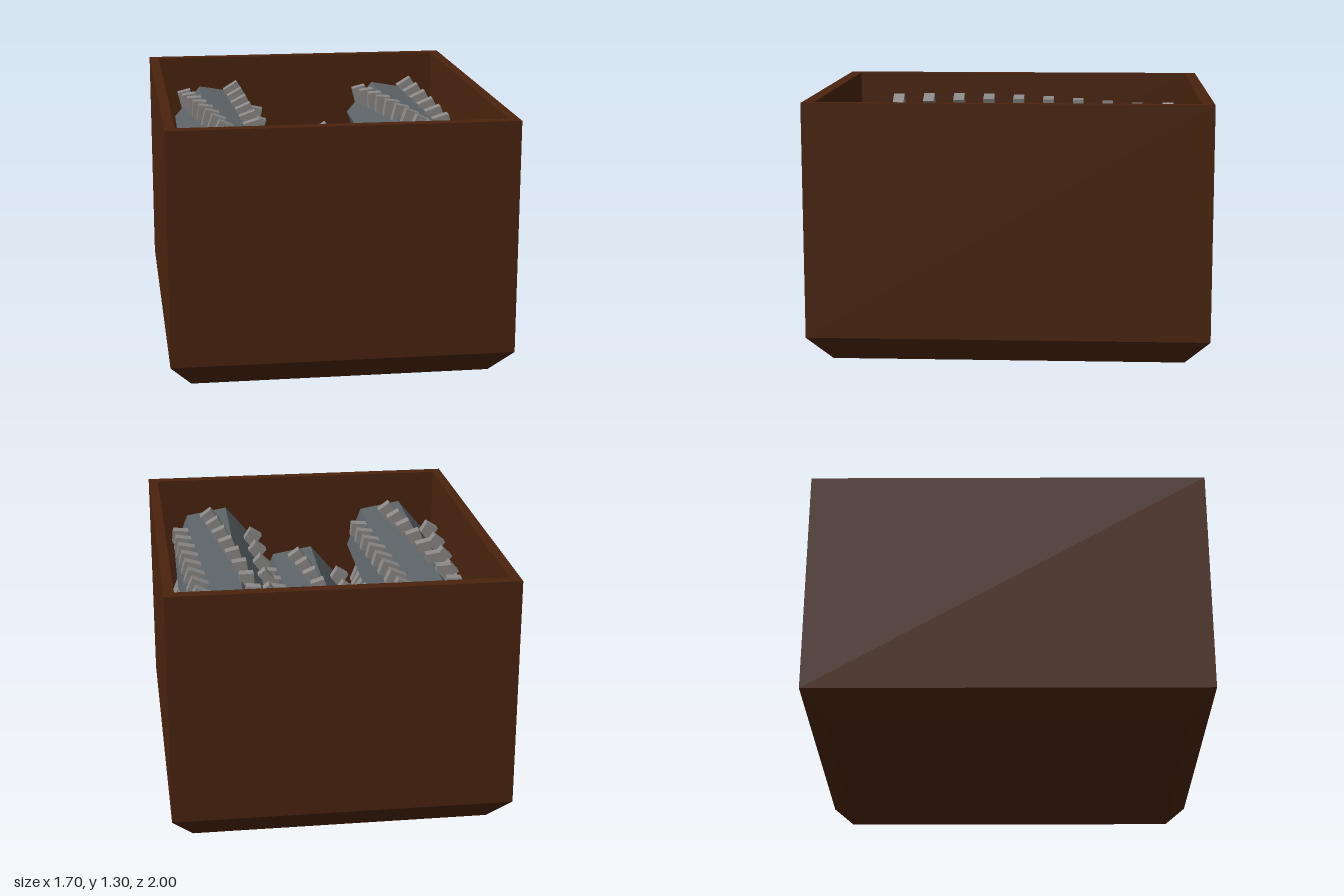
import * as THREE from 'three';
import { mergeGeometries } from 'three/addons/utils/BufferGeometryUtils.js';

const rad = THREE.MathUtils.degToRad;

function material(name, color) {
  const m = new THREE.MeshStandardMaterial({ color });
  m.name = name;
  return m;
}

// Skin a stack of rectangles [half width, half depth, y] with flat faces
function rectLoft(sections) {
  const corners = [[1, 1], [1, -1], [-1, -1], [-1, 1]];
  const pos = [];
  const point = (s, j) => [s[0] * corners[j % 4][0], s[2], s[1] * corners[j % 4][1]];
  for (let i = 0; i < sections.length - 1; i++) {
    for (let j = 0; j < 4; j++) {
      const a = point(sections[i], j), b = point(sections[i], j + 1);
      const c = point(sections[i + 1], j + 1), d = point(sections[i + 1], j);
      pos.push(...a, ...b, ...c, ...a, ...c, ...d);
    }
  }
  const geo = new THREE.BufferGeometry();
  geo.setAttribute('position', new THREE.Float32BufferAttribute(pos, 3));
  geo.computeVertexNormals();
  return geo;
}

// Six slowly spiralling columns of leaning block teeth
function teethGeometry() {
  const columns = [[134, 84], [62, 35], [18, -38], [206, 152], [260, 208], [314, 268]];
  const rows = 10;
  const parts = [];
  for (const [start, end] of columns) {
    for (let i = 0; i < rows; i++) {
      const angle = rad(start + (end - start) * i / (rows - 1));
      const tooth = new THREE.BoxGeometry(0.09, 0.075, 0.06);
      tooth.rotateZ(angle - rad(30));
      tooth.translate(0.235 * Math.cos(angle), 0.235 * Math.sin(angle), -0.83 + 0.168 * i);
      parts.push(tooth);
    }
  }
  return mergeGeometries(parts);
}

export function createModel() {
  const brown = material('dark brown', 0x4a240e);
  const steel = material('roller steel', 0x5c6367);
  const toothGrey = material('tooth grey', 0x8a8987);
  const black = material('black', 0x0c0c0c);

  const model = new THREE.Group();
  model.name = 'shredder';
  const add = (parent, name, geo, mat) => {
    const mesh = new THREE.Mesh(geo, mat);
    mesh.name = name;
    parent.add(mesh);
    return mesh;
  };

  // Open bin with a chamfered foot, from the underside round to the inner walls
  add(model, 'bin', rectLoft([
    [0, 0, 0], [0.745, 0.88, 0], [0.85, 1, 0.13], [0.85, 1, 1.3],
    [0.8, 0.94, 1.3], [0.8, 0.94, 0.33],
  ]), brown);

  // Floor inside the bin
  add(model, 'binFloor', new THREE.BoxGeometry(1.6, 0.01, 1.88), black).position.y = 0.33;

  // Hexagonal toothed rollers, the middle one lower
  const hex = new THREE.CylinderGeometry(0.228, 0.228, 1.88, 6, 1, false, rad(80));
  hex.rotateX(Math.PI / 2);
  const shaft = hex.toNonIndexed();
  shaft.computeVertexNormals();
  const teeth = teethGeometry();
  const places = [['rightRoller', -0.505, 0.917], ['middleRoller', 0.013, 0.66], ['leftRoller', 0.51, 0.917]];
  for (const [name, x, y] of places) {
    const roller = new THREE.Group();
    roller.name = name;
    roller.position.set(x, y, 0);
    roller.rotation.y = -0.018;
    add(roller, 'shaft', shaft, steel);
    add(roller, 'teeth', teeth, toothGrey);
    model.add(roller);
  }
  return model;
}
